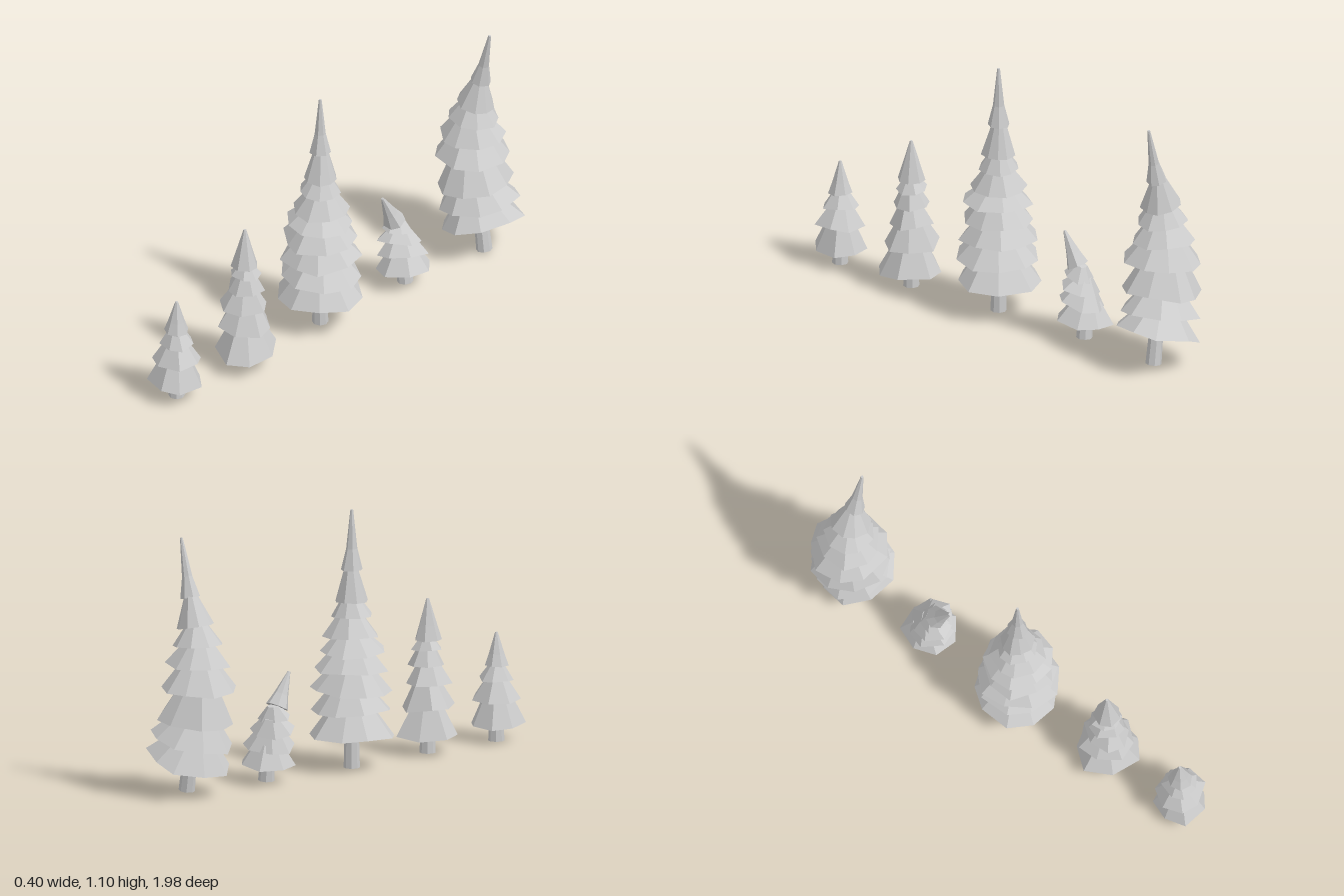
import * as THREE from 'three';

const material = new THREE.MeshStandardMaterial({ color: 0xcccccc, flatShading: true, side: THREE.DoubleSide });

// small seeded random generator
function seeded(seed) {
  let s = seed;
  return () => (s = (s * 16807) % 2147483647) / 2147483647;
}

// Irregular frustum with its base at y = 0; a waist makes its sides concave
function roughCone(rTop, rBottom, height, sides, rand, rough, waist = 0) {
  const geo = new THREE.CylinderGeometry(rTop, rBottom, height, sides, waist ? 2 : 1);
  const turn = rand() * Math.PI;
  const corners = Array.from({ length: sides }, () => ({
    r: 1 + (rand() - 0.5) * 0.14 * rough, y: (rand() - 0.5) * 0.1 * rough, a: (rand() - 0.5) * 0.2 * rough,
  }));
  const p = geo.attributes.position;
  for (let i = 0; i < p.count; i++) {
    const angle = Math.atan2(p.getX(i), p.getZ(i));
    let r = Math.hypot(p.getX(i), p.getZ(i));
    let y = p.getY(i) + height / 2;
    const corner = corners[(Math.round(angle / (2 * Math.PI) * sides) + sides) % sides];
    // narrow the middle ring and lower it
    if (waist && Math.abs(p.getY(i)) < 1e-5) {
      y = height * 0.35;
      r = rBottom * waist;
    }
    r *= corner.r;
    const a = angle + corner.a + turn;
    p.setXYZ(i, Math.sin(a) * r, y + corner.y * r, Math.cos(a) * r);
  }
  geo.computeVertexNormals();
  return geo;
}

// Radius at height t (0..1), read along evenly spaced profile values
function radiusAt(profile, t) {
  const f = t * (profile.length - 1);
  const i = Math.min(Math.floor(f), profile.length - 2);
  return THREE.MathUtils.lerp(profile[i], profile[i + 1], f - i);
}

const straight = () => ({ x: 0, z: 0, tiltX: 0, tiltZ: 0 });

// Bowed sideways: tiers roll over from one side to the other
const bowed = (y) => ({
  x: -0.076 * (1 - ((y - 0.5) / 0.42) ** 2) + 0.005, z: 0,
  tiltX: 0, tiltZ: 0.31 - 0.77 * (y - 0.145),
});

// Slumped forwards: tiers tip back, the top nods over
const slumped = (y) => ({
  x: -0.07 * (y - 0.075), z: 0.19 * (y - 0.075),
  tiltX: y > 0.3 ? 0.46 : -1.1 * (y - 0.04), tiltZ: y > 0.3 ? 0 : 0.13,
});

function buildTree({ name, x, z, sides, rough, top, waist, levels, profile, bend = straight, trunkTilt = 0, seed }) {
  const tree = new THREE.Group();
  const rand = seeded(seed);
  tree.name = name;
  tree.position.set(x, 0, z);

  // trunk
  const trunkHeight = levels[0] + 0.04;
  const trunk = new THREE.Mesh(new THREE.CylinderGeometry(0.029, 0.034, trunkHeight, 8), material);
  trunk.geometry.translate(0, trunkHeight / 2, 0);
  trunk.name = 'trunk';
  trunk.position.y = trunkTilt * 0.08;
  trunk.rotation.z = trunkTilt;
  tree.add(trunk);

  // branch tiers, each reaching up into the next one, and the pointed top
  const last = levels.length - 1;
  const radii = levels.map((y) => radiusAt(profile, (y - levels[0]) / (levels[last] - levels[0])));
  levels.forEach((y, i) => {
    const b = bend(y);
    const wobble = i > 0 && i < last ? 0.1 * rough : 0;
    const geo = i === last
      ? roughCone(0.006, radii[i], (top - y) / Math.cos(Math.hypot(b.tiltX, b.tiltZ)), 7, rand, 0.7, waist)
      : roughCone(Math.min(radii[i] * 0.48, radii[i + 1] * 0.52), radii[i], (levels[i + 1] - y) * 1.2, sides, rand, rough);
    const mesh = new THREE.Mesh(geo, material);
    mesh.name = i === last ? 'treeTop' : 'branchTier' + (i + 1);
    mesh.position.set(b.x, y, b.z);
    mesh.rotation.set(b.tiltX + (rand() - 0.5) * wobble, 0, b.tiltZ + (rand() - 0.5) * wobble);
    tree.add(mesh);
  });
  return tree;
}

export function createModel() {
  const model = new THREE.Group();
  model.name = 'treeRow';

  model.add(buildTree({
    name: 'smallTree', x: -0.025, z: 0.88, sides: 7, rough: 1.5, top: 0.46, waist: 0.66, seed: 4321,
    levels: [0.07, 0.18, 0.26, 0.32], profile: [0.116, 0.102, 0.052],
  }));
  model.add(buildTree({
    name: 'slimTree', x: -0.012, z: 0.5, sides: 7, rough: 1.4, top: 0.655, waist: 0.68, seed: 5298,
    levels: [0.07, 0.19, 0.29, 0.37, 0.44, 0.48], profile: [0.135, 0.1, 0.058],
  }));
  model.add(buildTree({
    name: 'tallTree', x: -0.025, z: 0.055, sides: 9, rough: 1, top: 1.095, waist: 0.52, seed: 6275,
    levels: [0.14, 0.245, 0.33, 0.415, 0.495, 0.56, 0.645, 0.71, 0.84],
    profile: [0.18, 0.17, 0.145, 0.08, 0.046],
  }));
  model.add(buildTree({
    name: 'crookedSmallTree', x: 0, z: -0.41, sides: 7, rough: 1.4, top: 0.455, waist: 0.64, seed: 7252,
    levels: [0.075, 0.155, 0.22, 0.27, 0.315], profile: [0.118, 0.102, 0.048],
    bend: slumped, trunkTilt: 0.08,
  }));
  model.add(buildTree({
    name: 'crookedTallTree', x: 0.055, z: -0.812, sides: 9, rough: 1, top: 1.08, waist: 0.52, seed: 8229,
    levels: [0.145, 0.235, 0.325, 0.455, 0.555, 0.64, 0.715, 0.835],
    profile: [0.18, 0.168, 0.16, 0.1, 0.044],
    bend: bowed, trunkTilt: 0.14,
  }));
  return model;
}
